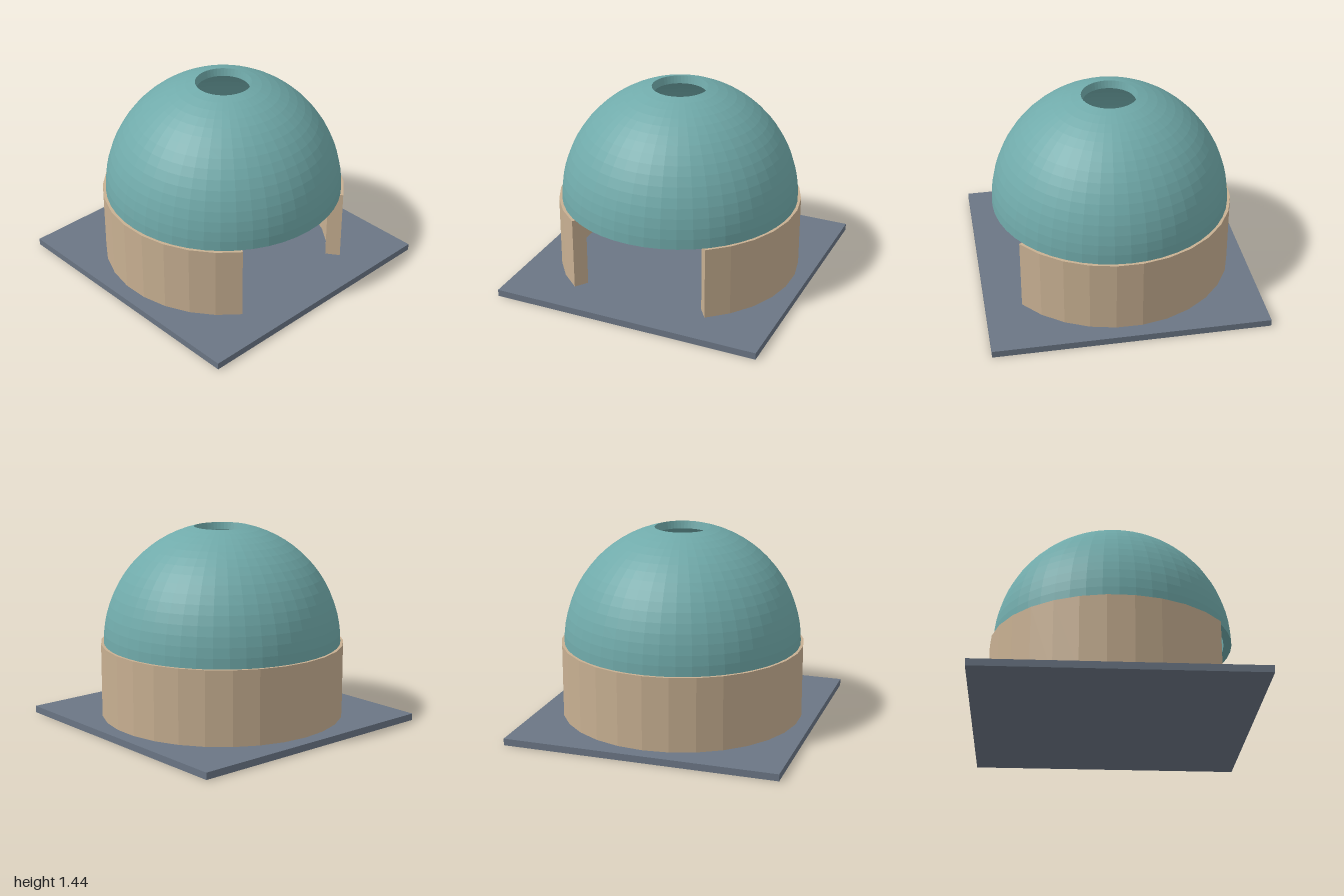
import * as THREE from 'three';

const BASE_H = 0.05, WALL_TOP = 0.59;

// Points along a meridian of the dome, from polar angle a to b
function meridian(radius, a, b, steps) {
  const pts = [];
  for (let i = 0; i <= steps; i++) {
    const t = a + (b - a) * i / steps;
    pts.push(new THREE.Vector2(radius * Math.sin(t), radius * Math.cos(t)));
  }
  return pts;
}

export function createModel() {
  const slate = new THREE.MeshStandardMaterial({ color: 0x6b7685, flatShading: true });
  slate.name = 'slate';
  const sand = new THREE.MeshStandardMaterial({ color: 0xc8b092, flatShading: true });
  sand.name = 'sand';
  const teal = new THREE.MeshStandardMaterial({ color: 0x70aaaa, flatShading: true });
  teal.name = 'teal';

  const model = new THREE.Group();
  model.name = 'domedPavilion';
  const add = (name, geometry, material, y) => {
    const mesh = new THREE.Mesh(geometry, material);
    mesh.name = name;
    mesh.position.y = y;
    model.add(mesh);
  };

  // Square ground slab
  add('base', new THREE.BoxGeometry(2, BASE_H, 2), slate, BASE_H / 2);

  // Thick ring wall, open 70 degrees at the front
  const start = THREE.MathUtils.degToRad(-55), end = THREE.MathUtils.degToRad(235);
  const ring = new THREE.Shape();
  ring.absarc(0, 0, 0.895, start, end, false);
  ring.absarc(0, 0, 0.785, end, start, true);
  ring.closePath();
  const wall = new THREE.ExtrudeGeometry(ring, {
    depth: WALL_TOP - BASE_H, bevelEnabled: false, curveSegments: 12,
  });
  wall.rotateX(-Math.PI / 2);
  add('wall', wall, sand, BASE_H);

  // Hollow hemisphere with a round opening at the crown
  const outer = 0.872, inner = 0.815, crown = Math.asin(0.203 / outer);
  const profile = [
    ...meridian(outer, Math.PI / 2, crown, 16),
    ...meridian(inner, crown, Math.PI / 2, 16),
  ];
  profile.push(profile[0].clone());
  add('dome', new THREE.LatheGeometry(profile, 48), teal, WALL_TOP);

  return model;
}
